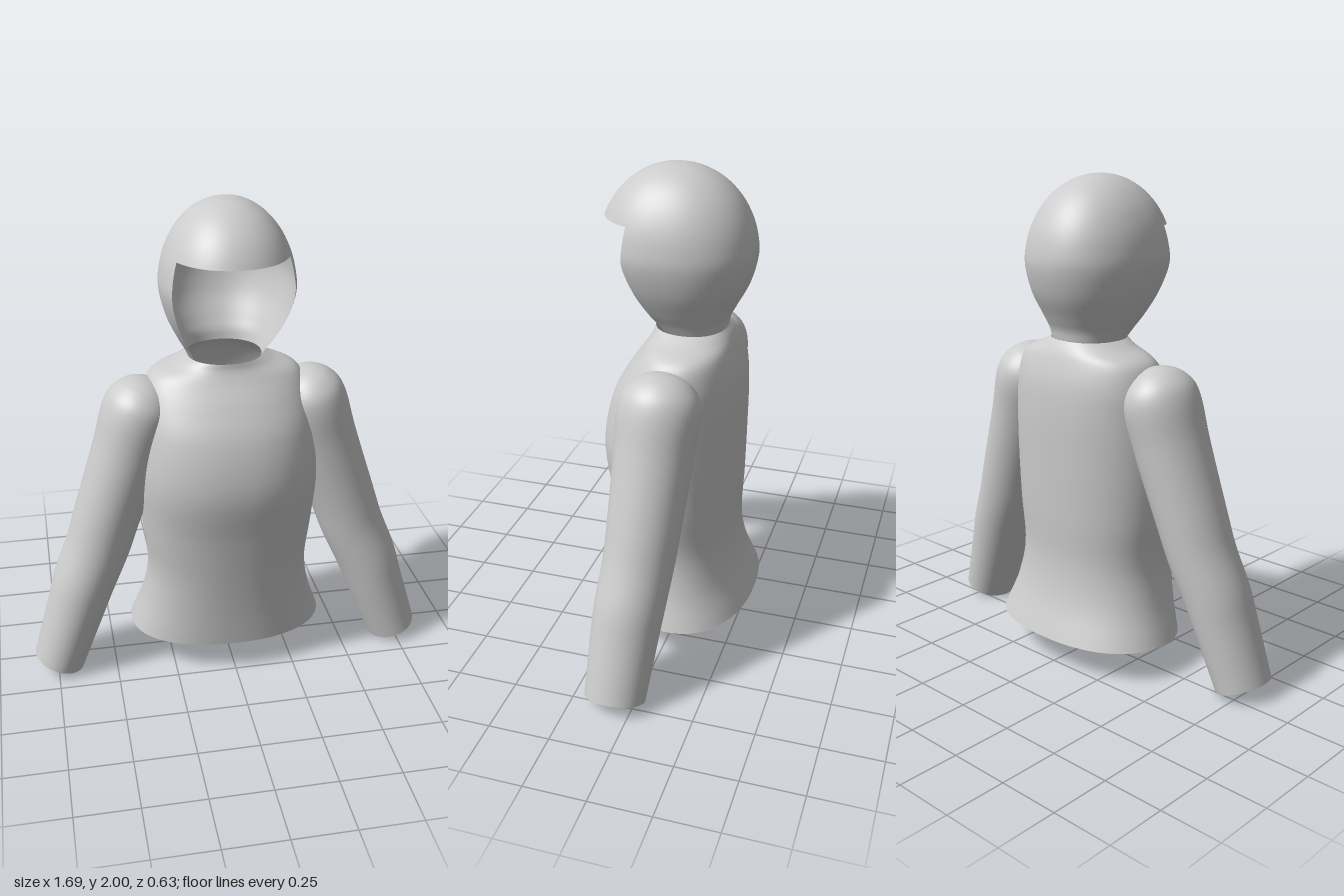
import * as THREE from 'three';

const SEG = 64, SUB = 6;
const material = new THREE.MeshStandardMaterial({ color: 0xcccccc, side: THREE.DoubleSide });

// Smooth (centripetal Hermite) subdivision of rows of numbers; every row is kept as a knot.
function smoothRows(rows) {
  const t = [0];
  for (let i = 1; i < rows.length; i++) {
    t.push(t[i - 1] + Math.sqrt(Math.hypot(...rows[i].map((v, k) => v - rows[i - 1][k]))));
  }
  const slope = (i, k) => (rows[i + 1][k] - rows[i][k]) / (t[i + 1] - t[i]);
  const last = rows.length - 1;
  const tangent = (i, k) => {
    if (i === 0) return slope(0, k);
    if (i === last) return slope(last - 1, k);
    const h0 = t[i] - t[i - 1], h1 = t[i + 1] - t[i];
    return (slope(i - 1, k) * h1 + slope(i, k) * h0) / (h0 + h1);
  };
  const out = [];
  for (let i = 0; i < last; i++) {
    const h = t[i + 1] - t[i];
    for (let j = 0; j < SUB; j++) {
      const s = j / SUB, s2 = s * s, s3 = s2 * s;
      out.push(rows[i].map((v, k) =>
        v * (2 * s3 - 3 * s2 + 1) + rows[i + 1][k] * (3 * s2 - 2 * s3) +
        h * (tangent(i, k) * (s3 - 2 * s2 + s) + tangent(i + 1, k) * (s3 - s2))));
    }
  }
  out.push(rows[last]);
  return out;
}

// Skin closed rings from top to bottom; skip(row, column) leaves a hole.
function loft(name, rows, point, skip = () => false) {
  const rings = smoothRows(rows), pos = [], index = [];
  rings.forEach((row, i) => {
    for (let j = 0; j < SEG; j++) {
      pos.push(...point(row, (j / SEG) * Math.PI * 2));
      if (i === rings.length - 1 || skip(i, j)) continue;
      const a = i * SEG + j, b = i * SEG + (j + 1) % SEG;
      index.push(a, b, a + SEG, b, b + SEG, a + SEG);
    }
  });
  const geometry = new THREE.BufferGeometry();
  geometry.setAttribute('position', new THREE.Float32BufferAttribute(pos, 3));
  geometry.setIndex(index);
  geometry.computeVertexNormals();
  const mesh = new THREE.Mesh(geometry, material);
  mesh.name = name;
  return mesh;
}

// Superellipse ring from a row [y, half width, back z, front z].
const bodyRing = (n) => ([y, w, back, front], a) => {
  const p = (v) => Math.sign(v) * Math.abs(v) ** (2 / n);
  return [w * p(Math.cos(a)), y, (front + back) / 2 + (front - back) / 2 * p(Math.sin(a))];
};

// Tilted elliptical ring from a row [x, y, z, tilt, radius across, radius in z].
const armRing = ([x, y, z, tilt, r, rz], a) => [
  x + r * Math.cos(a) * Math.cos(tilt),
  y + r * Math.cos(a) * Math.sin(tilt),
  z + rz * Math.sin(a),
];

export function createModel() {
  const group = new THREE.Group();

  // Jacket body, open at neck and hem
  group.add(loft('jacketBody', [
    [1.36, 0.15, -0.172, 0.115],
    [1.335, 0.2, -0.19, 0.12],
    [1.29, 0.3, -0.21, 0.145],
    [1.2, 0.342, -0.235, 0.21],
    [1.08, 0.362, -0.245, 0.276],
    [0.88, 0.373, -0.243, 0.318],
    [0.65, 0.358, -0.237, 0.292],
    [0.44, 0.338, -0.23, 0.27],
    [0.29, 0.362, -0.253, 0.258],
    [0.135, 0.415, -0.31, 0.25],
  ], bodyRing(2.25)));

  // Hood: ellipsoid dome with a brim, tapering to the neck, face cut away below the brim
  const brimAngle = Math.asin(0.14 / 0.34);
  const dome = [Math.PI / 2, 1.4, 1.2, 0.95, 0.68, brimAngle, 0.2, 0].map((a) => {
    const c = Math.cos(a);
    return [1.66 + 0.34 * Math.sin(a), 0.264 * c, 0.03 - 0.312 * c, 0.03 + 0.312 * c];
  });
  const brimRow = 5 * SUB;
  group.add(loft('hood', [
    ...dome,
    [1.55, 0.24, -0.256, 0.288],
    [1.45, 0.195, -0.205, 0.207],
    [1.4, 0.168, -0.18, 0.155],
    [1.36, 0.15, -0.172, 0.115],
  ], bodyRing(2.15), (i, j) => i >= brimRow && j >= 5 && j < SEG / 2 - 5));

  // Sleeves with rounded shoulder caps, slight elbow bend and open cuffs
  const tilt = 0.3;
  const cap = [1.57, 1.35, 1.1, 0.8, 0.4].map((a) => {
    const up = 0.15 * Math.sin(a), c = Math.cos(a);
    return [0.357 - up * Math.sin(tilt), 1.136 + up * Math.cos(tilt), 0, tilt, 0.15 * c, 0.165 * c];
  });
  const sleeveRows = [
    ...cap,
    [0.357, 1.136, 0, tilt, 0.15, 0.165],
    [0.405, 0.98, 0.007, tilt, 0.146, 0.158],
    [0.505, 0.69, 0.021, tilt, 0.138, 0.146],
    [0.549, 0.56, 0.03, tilt, 0.135, 0.142],
    [0.618, 0.396, 0.047, 0.35, 0.13, 0.14],
    [0.66, 0.275, 0.057, 0.35, 0.122, 0.135],
    [0.742, 0.04, 0.073, 0.35, 0.108, 0.123],
  ];
  for (const [name, side] of [['leftSleeve', 1], ['rightSleeve', -1]]) {
    const sleeve = loft(name, sleeveRows, armRing);
    sleeve.scale.x = side;
    group.add(sleeve);
  }
  return group;
}
